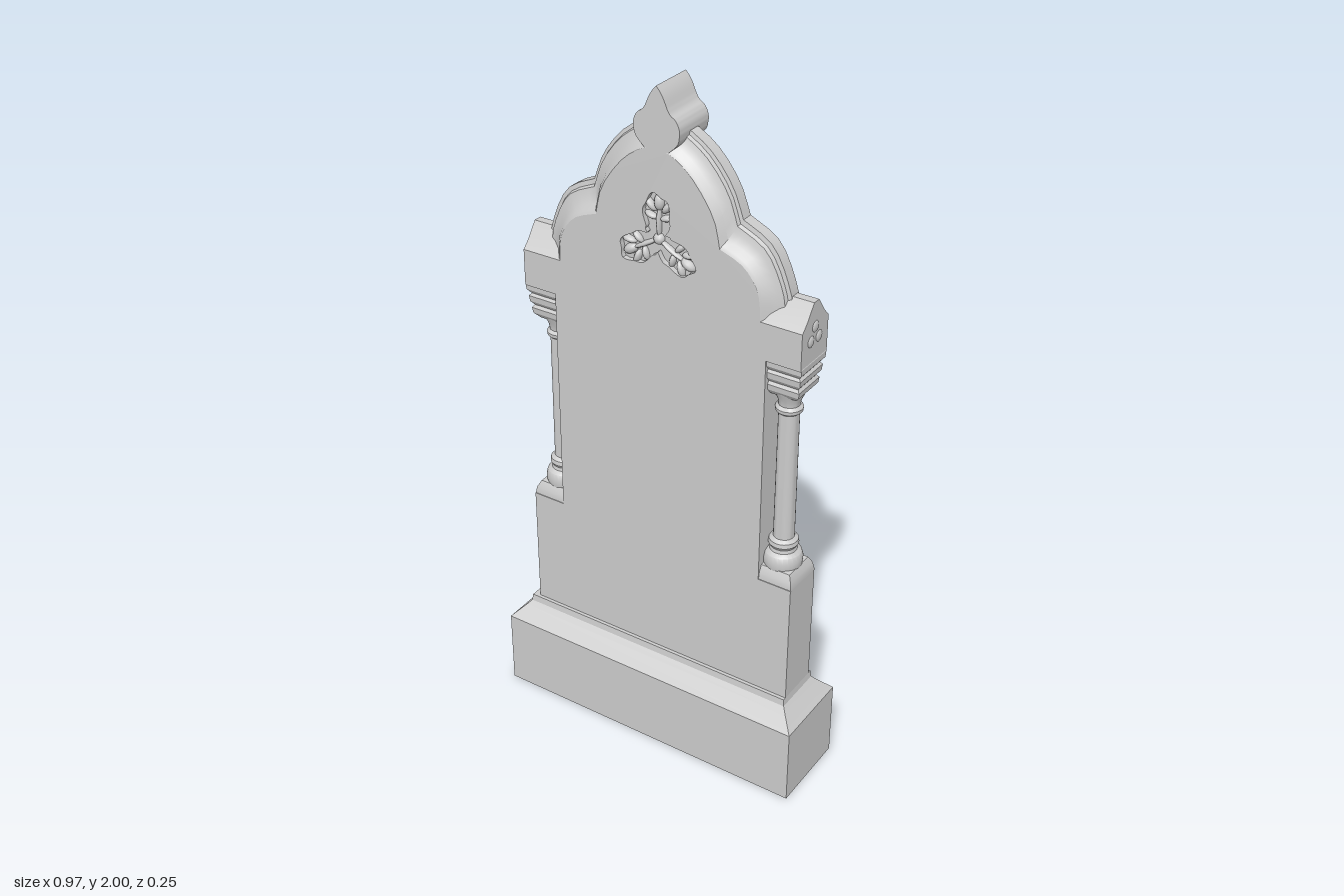
import * as THREE from 'three';
import { toCreasedNormals } from 'three/addons/utils/BufferGeometryUtils.js';

const D = 0.065; // half thickness of the slab
const stone = new THREE.MeshStandardMaterial({ color: 0xcccccc });
const V = (x, y) => new THREE.Vector2(x, y);

function part(name, geometry, parent, crease = 0.6) {
  const mesh = new THREE.Mesh(toCreasedNormals(geometry, crease), stone);
  mesh.name = name;
  parent.add(mesh);
  return mesh;
}

function extrude(shape, z0, z1) {
  return new THREE.ExtrudeGeometry(shape, { depth: z1 - z0, bevelEnabled: false, curveSegments: 10 })
    .translate(0, 0, z0);
}

// Turned profile [radius, y]; four sides give a square moulding
function lathe(profile, sides) {
  const k = sides === 4 ? Math.SQRT2 : 1;
  const g = new THREE.LatheGeometry(profile.map(([r, y]) => V(r * k, y)), sides);
  return sides === 4 ? g.rotateY(Math.PI / 4) : g;
}

// Stepped arch: two arcs on the right, mirrored to the left
function archLine(lower, upper) {
  const arc = (p) => new THREE.SplineCurve(p.map(([x, y]) => V(x, y))).getPoints(10);
  const right = [...arc(lower), ...arc(upper).slice(1)];
  const left = right.slice(0, -1).reverse().map((p) => V(-p.x, p.y));
  return [...right, ...left];
}

// Moulded arch edge running from the front face over the ridge to the back
function hoodGeometry(inner, outer) {
  const half = [[0, D], [0.12, 0.06], [0.3, 0.045], [0.6, 0.034], [0.78, 0.03], [0.84, 0.02], [1, 0.017]];
  const layers = [...half, ...half.slice().reverse().map(([s, z]) => [s, -z])];
  const pos = [], index = [], n = inner.length;
  for (const [s, z] of layers) {
    inner.forEach((p, i) => {
      const q = p.clone().lerp(outer[i], s);
      pos.push(q.x, q.y, z);
    });
  }
  for (let k = 0; k < layers.length - 1; k++) {
    for (let i = 0; i < n - 1; i++) {
      const a = k * n + i, b = a + 1, c = a + n, d = c + 1;
      index.push(a, c, b, b, c, d);
    }
  }
  const g = new THREE.BufferGeometry();
  g.setAttribute('position', new THREE.Float32BufferAttribute(pos, 3));
  g.setIndex(index);
  return g;
}

// Flattened ball used for leaves and bosses
function blob(name, parent, x, y, z, sx, sy, sz, turn = 0) {
  const m = part(name, new THREE.SphereGeometry(1, 12, 8), parent, 1.2);
  m.position.set(x, y, z);
  m.scale.set(sx, sy, sz);
  m.rotation.z = turn;
  return m;
}

// Three-lobed leaf carving set into the sunk panel
function leafCarving(parent, cx, cy) {
  const carving = new THREE.Group();
  carving.name = 'leafCarving';
  carving.position.set(cx, cy, 0.05);
  for (let k = 0; k < 3; k++) {
    const leaf = new THREE.Group();
    leaf.name = 'leaf';
    leaf.rotation.z = (k * Math.PI * 2) / 3;
    blob('leafStem', leaf, 0, 0.045, 0, 0.007, 0.045, 0.014);
    blob('leafTip', leaf, 0, 0.1, 0, 0.014, 0.023, 0.016);
    for (const s of [-1, 1]) {
      blob('leafLobe', leaf, s * 0.025, 0.09, 0, 0.01, 0.022, 0.015, -s * 0.7);
      blob('leafLobe', leaf, s * 0.023, 0.06, 0, 0.009, 0.02, 0.014, -s * 1.3);
    }
    carving.add(leaf);
  }
  blob('leafCentre', carving, 0, 0, 0, 0.016, 0.016, 0.018);
  parent.add(carving);
}

export function createModel() {
  const model = new THREE.Group();
  model.name = 'headstone';

  // Plinth with a sloped top, stretched from a square section
  const plinth = lathe([[0, 0], [1, 0], [1, 0.233], [0.72, 0.27], [0.62, 0.285], [0.6, 0.305], [0, 0.305]], 4);
  const pp = plinth.attributes.position;
  for (let i = 0; i < pp.count; i++) {
    const x = pp.getX(i), z = pp.getZ(i), r = Math.max(Math.abs(x), Math.abs(z));
    const inset = 0.125 * (1 - r);
    const hx = r < 1e-4 ? 0 : 0.485 - inset, hz = r < 1e-4 ? 0 : 0.125 - inset;
    pp.setX(i, Math.sign(x) * hx);
    pp.setZ(i, Math.sign(z) * hz);
  }
  part('plinth', plinth, model, 0.3);

  const stele = new THREE.Group();
  stele.name = 'stele';
  stele.position.x = 0.01;
  model.add(stele);

  // Slab: wide foot, narrow waist between the columns, trefoil arch top
  const inner = archLine(
    [[0.305, 1.45], [0.297, 1.53], [0.255, 1.59], [0.185, 1.62]],
    [[0.185, 1.62], [0.165, 1.7], [0.105, 1.785], [0.045, 1.83], [0, 1.84]]);
  const outer = archLine(
    [[0.37, 1.45], [0.362, 1.53], [0.31, 1.64], [0.222, 1.69]],
    [[0.222, 1.69], [0.19, 1.77], [0.13, 1.845], [0.06, 1.89], [0, 1.91]]);
  const foot = [V(0.425, 0.3), V(0.425, 0.675), V(0.325, 0.675), V(0.325, 1.37), V(0.305, 1.37)];
  const outline = [...foot, ...inner, ...foot.slice().reverse().map((p) => V(-p.x, p.y))];
  part('slab', extrude(new THREE.Shape(outline), -D, 0.05), stele);

  // Front skin with the sunk trefoil cut through it
  const cy = 1.595, sunk = [];
  for (let i = 0; i < 90; i++) {
    const a = (i / 90) * Math.PI * 2;
    const r = 0.08 + 0.045 * Math.cos(3 * (a - Math.PI / 2)) + 0.005 * Math.cos(15 * a);
    sunk.push(V(r * Math.cos(a), cy + r * Math.sin(a)));
  }
  const face = new THREE.Shape(outline);
  face.holes.push(new THREE.Path(sunk));
  part('frontFace', extrude(face, 0.05, D), stele);
  leafCarving(stele, 0, cy);
  part('archMoulding', hoodGeometry(inner, outer), stele, 0.5);

  // Bud-shaped finial
  const bud = new THREE.Shape();
  bud.moveTo(0, 1.832);
  bud.lineTo(0.035, 1.836);
  bud.bezierCurveTo(0.05, 1.85, 0.066, 1.86, 0.066, 1.88);
  bud.bezierCurveTo(0.072, 1.9, 0.06, 1.925, 0.045, 1.93);
  bud.bezierCurveTo(0.025, 1.945, 0.03, 1.97, 0, 2.0);
  bud.bezierCurveTo(-0.03, 1.97, -0.025, 1.945, -0.045, 1.93);
  bud.bezierCurveTo(-0.06, 1.925, -0.072, 1.9, -0.066, 1.88);
  bud.bezierCurveTo(-0.066, 1.86, -0.05, 1.85, -0.035, 1.836);
  part('finial', extrude(bud, -D, D), stele);

  // Side pieces: pedestal stop, column, capital and gabled shoulder block
  const gable = new THREE.Shape([V(-D, 1.35), V(D, 1.35), V(D, 1.455), V(0.045, 1.475),
    V(0.012, 1.52), V(-0.012, 1.52), V(-0.045, 1.475), V(-D, 1.455)]);
  for (const s of [-1, 1]) {
    const side = new THREE.Group();
    side.name = s > 0 ? 'leftSide' : 'rightSide';
    side.position.x = s * 0.362;
    stele.add(side);

    const stop = lathe([[0.063, 0.67], [0.063, 0.675], [0.06, 0.695], [0.05, 0.715], [0, 0.72]], 4);
    part('pedestalStop', stop, side, 0.5);

    part('column', lathe([[0.05, 0.7], [0.053, 0.715], [0.055, 0.735], [0.05, 0.752], [0.038, 0.76],
      [0.036, 0.77], [0.042, 0.78], [0.04, 0.792], [0.029, 0.8], [0.028, 1.185], [0.036, 1.192],
      [0.037, 1.202], [0.029, 1.21], [0.031, 1.225], [0.04, 1.245], [0.045, 1.26]], 24), side, 0.7);

    const capital = part('capital', lathe([[0, 1.245], [0.036, 1.245], [0.05, 1.262], [0.052, 1.278],
      [0.046, 1.286], [0.055, 1.298], [0.057, 1.315], [0.051, 1.322], [0.061, 1.335],
      [0.062, 1.352], [0.058, 1.36]], 4), side, 0.5);
    capital.position.x = s * 0.002;

    const block = extrude(gable, -0.07, 0.07).rotateY(Math.PI / 2);
    part('shoulderBlock', block, side, 0.4).position.x = s * -0.007;

    // Small trefoil bosses on the gable end
    for (const [y, z] of [[1.45, 0], [1.415, 0.02], [1.415, -0.02]]) {
      blob('gableBoss', side, s * 0.062, y, z, 0.006, 0.016, 0.016);
    }
  }
  return model;
}
